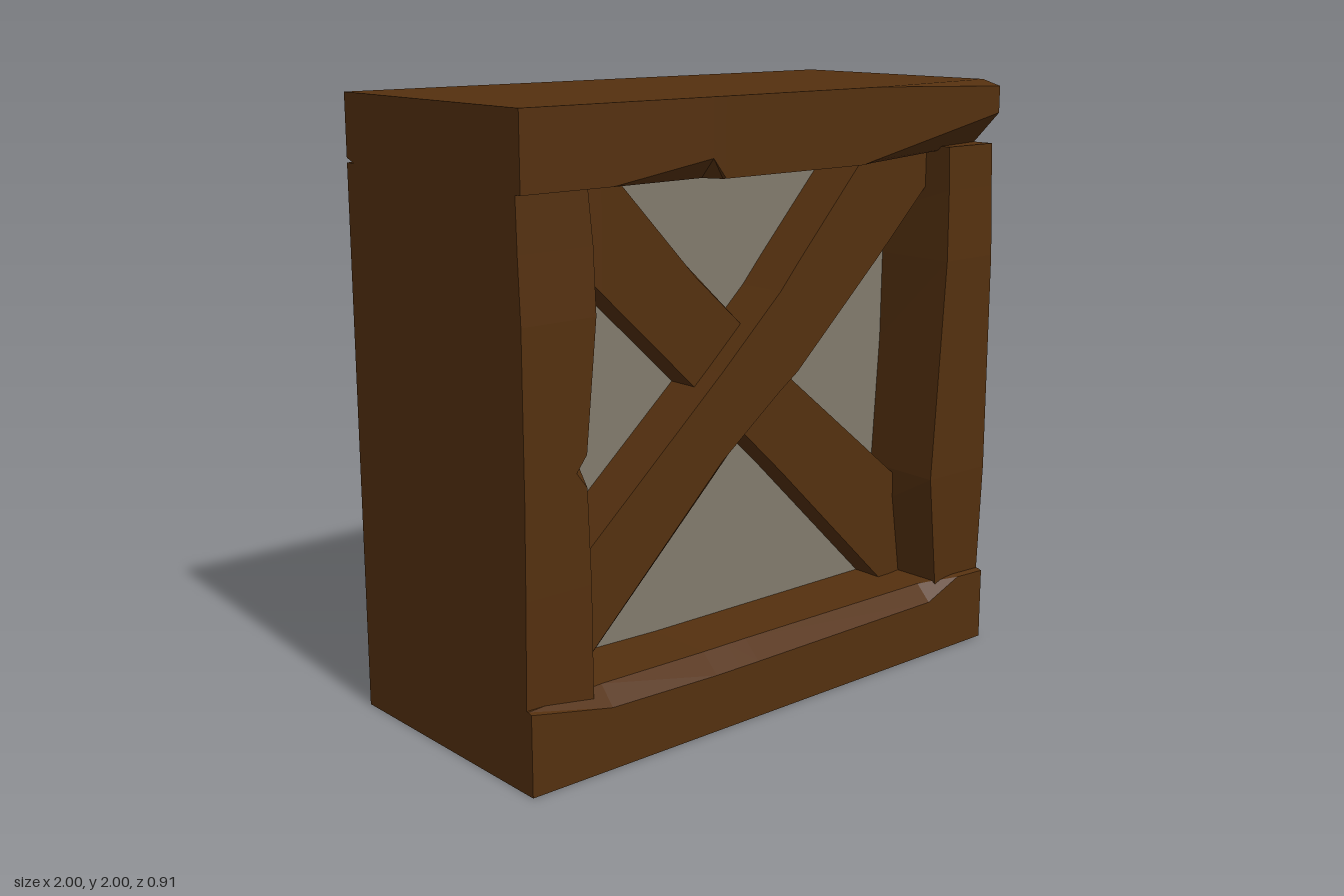
import * as THREE from 'three';

const wood = new THREE.MeshStandardMaterial({ color: 0x54300f });
wood.name = 'brown wood';
const stone = new THREE.MeshStandardMaterial({ color: 0x817a6c });
stone.name = 'grey plaster';

// Joins matching cross-sections [t, [[a, b], ...]] into a closed, hard-edged beam.
// axis 'x': section points are (y, z); axis 'y': section points are (z, x).
function loft(axis, stations) {
  const pos = [];
  const at = (s, i) => {
    const [t, pts] = stations[s];
    const [a, b] = pts[i % pts.length];
    return axis === 'x' ? [t, a, b] : [b, t, a];
  };
  const tri = (...p) => p.forEach((v) => pos.push(...v));
  const n = stations[0][1].length;
  const last = stations.length - 1;
  for (let s = 0; s < last; s++) {
    for (let i = 0; i < n; i++) {
      const a = at(s, i), b = at(s, i + 1), c = at(s + 1, i + 1), d = at(s + 1, i);
      tri(a, b, c);
      tri(a, c, d);
    }
  }
  for (let i = 1; i < n - 1; i++) {
    tri(at(0, 0), at(0, i + 1), at(0, i));
    tri(at(last, 0), at(last, i), at(last, i + 1));
  }
  const g = new THREE.BufferGeometry();
  g.setAttribute('position', new THREE.Float32BufferAttribute(pos, 3));
  g.computeVertexNormals();
  return g;
}

function add(parent, name, geometry, material = wood) {
  const m = new THREE.Mesh(geometry, material);
  m.name = name;
  parent.add(m);
  return m;
}

const D = 0.455; // half depth of the frame

export function createModel() {
  const model = new THREE.Group();
  model.name = 'timberFrameWall';

  // Infill panel
  const panel = add(model, 'infillPanel', new THREE.BoxGeometry(1.7, 1.7, 0.3), stone);
  panel.position.y = 1;

  // Bottom rail: x, front edge y, top y, bevel z, back edge y
  add(model, 'bottomRail', loft('x', [
    [-1, 0.26, 0.265, 0.44, 0.25],
    [-0.7, 0.2, 0.26, 0.4, 0.25],
    [-0.28, 0.19, 0.25, 0.39, 0.24],
    [-0.18, 0.19, 0.25, 0.39, 0.19],
    [-0.1, 0.19, 0.25, 0.39, 0.24],
    [0.72, 0.195, 0.25, 0.4, 0.25],
    [0.87, 0.255, 0.26, 0.44, 0.25],
    [1, 0.25, 0.255, 0.44, 0.25],
  ].map(([x, yF, yT, zF, yB]) => [x, [
    [0, -D], [yB, -D], [yT, -0.4], [yT, zF], [yF, D], [0, D],
  ]])));

  // Top rail: x, front edge y, underside y, chip z, back edge y, upper chip z, upper chip y
  add(model, 'topRail', loft('x', [
    [-1, 1.765, 1.765, 0.44, 1.8, D, 2],
    [-0.68, 1.765, 1.765, 0.44, 1.765, D, 2],
    [-0.3, 1.82, 1.758, 0.4, 1.755, D, 2],
    [-0.25, 1.757, 1.755, 0.44, 1.755, D, 2],
    [0.34, 1.757, 1.755, 0.44, 1.755, D, 2],
    [0.4, 1.77, 1.757, 0.43, 1.755, D, 2],
    [1, 1.89, 1.775, 0.34, 1.765, 0.38, 1.98],
  ].map(([x, yF, yT, zF, yB, zt, yt]) => [x, [
    [yB, -D], [2, -D], [2, zt], [yt, D], [yF, D], [yT, zF], [yT, -0.36],
  ]])));

  // Left post: y, front z, inner x, back inner x
  add(model, 'leftPost', loft('y', [
    [0.22, 0.43, 0.78, 0.78],
    [0.64, 0.445, 0.72, 0.77],
    [1.4, 0.445, 0.77, 0.78],
    [1.64, 0.435, 0.78, 0.78],
    [1.785, 0.43, 0.78, 0.78],
  ].map(([y, zF, xi, xB]) => [y, [
    [-D, xB], [-0.3, xB - 0.02], [zF, xi], [zF, 1], [-D, 1],
  ]])));

  // Right post with a small nick at mid height: y, front z, front edge x, inner x, back inner x
  add(model, 'rightPost', loft('y', [
    [0.22, 0.43, -0.752, -0.75, -0.755],
    [0.6, 0.44, -0.762, -0.76, -0.755],
    [0.9, 0.445, -0.777, -0.775, -0.755],
    [0.95, 0.445, -0.815, -0.775, -0.755],
    [1, 0.445, -0.777, -0.775, -0.755],
    [1.4, 0.445, -0.737, -0.735, -0.755],
    [1.6, 0.435, -0.737, -0.735, -0.78],
    [1.785, 0.43, -0.752, -0.75, -0.86],
  ].map(([y, zF, xF, xi, xB]) => [y, [
    [-D, -1], [zF, -1], [zF, xF], [zF - 0.04, xi], [-0.3, -0.745], [-D, xB],
  ]])));

  // Crossed braces, repeated on the back by a half turn
  const rising = loft('x', [
    [-0.85, 0.11, 0.52, 0.06],
    [-0.15, 0.76, 1.13, 0.08],
    [0.1, 1, 1.36, 0.03],
    [0.18, 1.08, 1.45, 0.005],
    [0.55, 1.42, 1.85, 0.005],
    [0.85, 1.71, 1.85, 0.005],
  ].map(([x, lo, hi, bevel]) => [x, [
    [lo, 0.1], [hi, 0.1], [hi, 0.33], [lo + bevel, 0.33], [lo, 0.27],
  ]]));
  const falling = loft('x', [
    [-0.85, 1.69, 1.85, 0.03],
    [-0.57, 1.42, 1.85, 0.03],
    [-0.2, 1.075, 1.47, 0.04],
    [0, 0.9, 1.27, 0.02],
    [0.18, 0.73, 1.08, 0.005],
    [0.85, 0.07, 0.53, 0.005],
  ].map(([x, lo, hi, bevel]) => [x, [
    [lo, 0.1], [hi, 0.1], [hi, 0.2], [hi - bevel, 0.26], [lo, 0.26],
  ]]));
  for (const side of ['front', 'back']) {
    const braces = new THREE.Group();
    braces.name = side + 'Braces';
    add(braces, side + 'RisingBrace', rising);
    add(braces, side + 'FallingBrace', falling);
    if (side === 'back') braces.rotation.y = Math.PI;
    model.add(braces);
  }

  return model;
}
